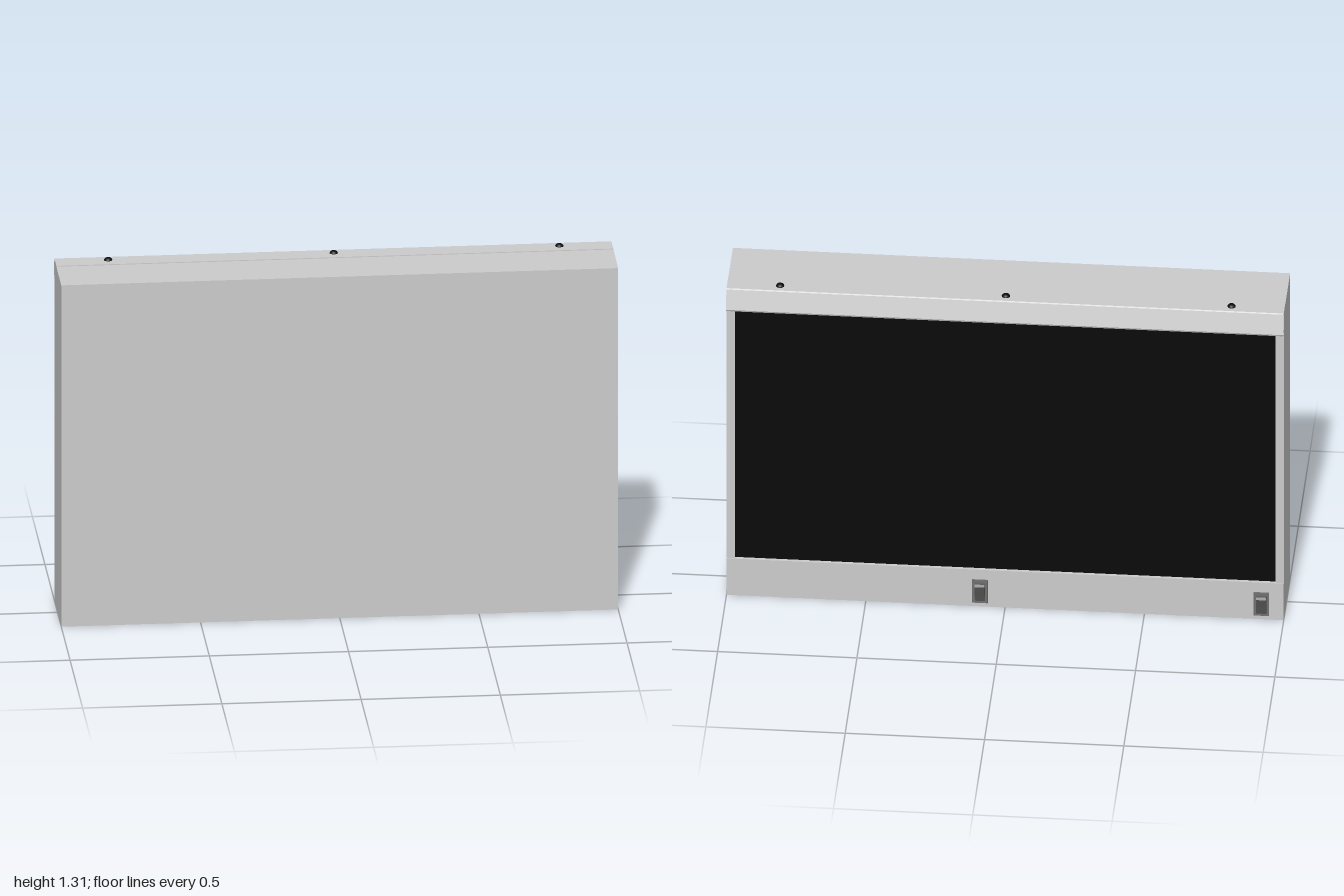
import * as THREE from 'three';

const mat = (color) => new THREE.MeshStandardMaterial({ color });
const METAL = mat(0xcccccc);
METAL.side = THREE.DoubleSide;
const BLACK = mat(0x0a0a0a);
const HOUSING = mat(0x707070);
const ROCKER = mat(0x555555);

// Box given by its limits on each axis
function slab(name, [x0, x1], [y0, y1], [z0, z1], material = METAL) {
  const mesh = new THREE.Mesh(new THREE.BoxGeometry(x1 - x0, y1 - y0, z1 - z0), material);
  mesh.position.set((x0 + x1) / 2, (y0 + y1) / 2, (z0 + z1) / 2);
  mesh.name = name;
  return mesh;
}

// Extrudes a [z, y] outline along x, centred on x = 0
function alongX(name, outline, width, material = METAL) {
  const shape = new THREE.Shape(outline.map(([z, y]) => new THREE.Vector2(-z, y)));
  const geo = new THREE.ExtrudeGeometry(shape, { depth: width, bevelEnabled: false });
  geo.rotateY(Math.PI / 2).translate(-width / 2, 0, 0);
  const mesh = new THREE.Mesh(geo, material);
  mesh.name = name;
  return mesh;
}

// Rocker switch on the lower panel
function rockerSwitch(name, x) {
  const group = new THREE.Group();
  group.name = name;
  group.add(slab('switchHousing', [-0.028, 0.028], [0.018, 0.114], [-0.129, -0.122], HOUSING));
  group.add(alongX('switchRocker',
    [[-0.126, 0.028], [-0.126, 0.102], [-0.136, 0.1], [-0.142, 0.092], [-0.136, 0.06], [-0.131, 0.028]],
    0.036, ROCKER));
  group.position.x = x;
  return group;
}

export function createModel() {
  const model = new THREE.Group();

  // Shallow cabinet and the dark screen on its rear face
  model.add(slab('cabinet', [-1, 1], [0, 1.3], [-0.105, 0.15]));
  model.add(slab('screen', [-0.972, 0.972], [0.15, 1.295], [-0.111, -0.1], BLACK));

  // Frame around the screen
  for (const s of [-1, 1]) {
    const edge = [s * 0.97, s].sort((a, b) => a - b);
    model.add(slab('sideRim', edge, [0.15, 1.3], [-0.119, -0.105]));
  }
  model.add(slab('topRim', [-0.97, 0.97], [1.275, 1.3], [-0.119, -0.105]));
  model.add(slab('lowerPanel', [-1, 1], [0, 0.155], [-0.123, -0.105]));

  // Folded sheet-metal clip strip along the top edge
  model.add(alongX('clipStrip', [
    [-0.045, 1.299], [-0.045, 1.303], [-0.122, 1.303], [-0.126, 1.3], [-0.149, 1.228],
    [-0.146, 1.221], [-0.13, 1.224], [-0.13, 1.227], [-0.144, 1.226], [-0.146, 1.229],
    [-0.123, 1.297], [-0.12, 1.299],
  ], 2));

  // Round-headed fixings
  for (const x of [-0.81, 0, 0.81]) {
    const knob = new THREE.Mesh(
      new THREE.SphereGeometry(0.015, 20, 8, 0, Math.PI * 2, 0, Math.PI / 2), BLACK);
    knob.scale.y = 0.75;
    knob.position.set(x, 1.302, -0.09);
    knob.name = 'fixingHead';
    model.add(knob);
  }

  model.add(rockerSwitch('centreSwitch', 0.09), rockerSwitch('endSwitch', -0.92));
  return model;
}
